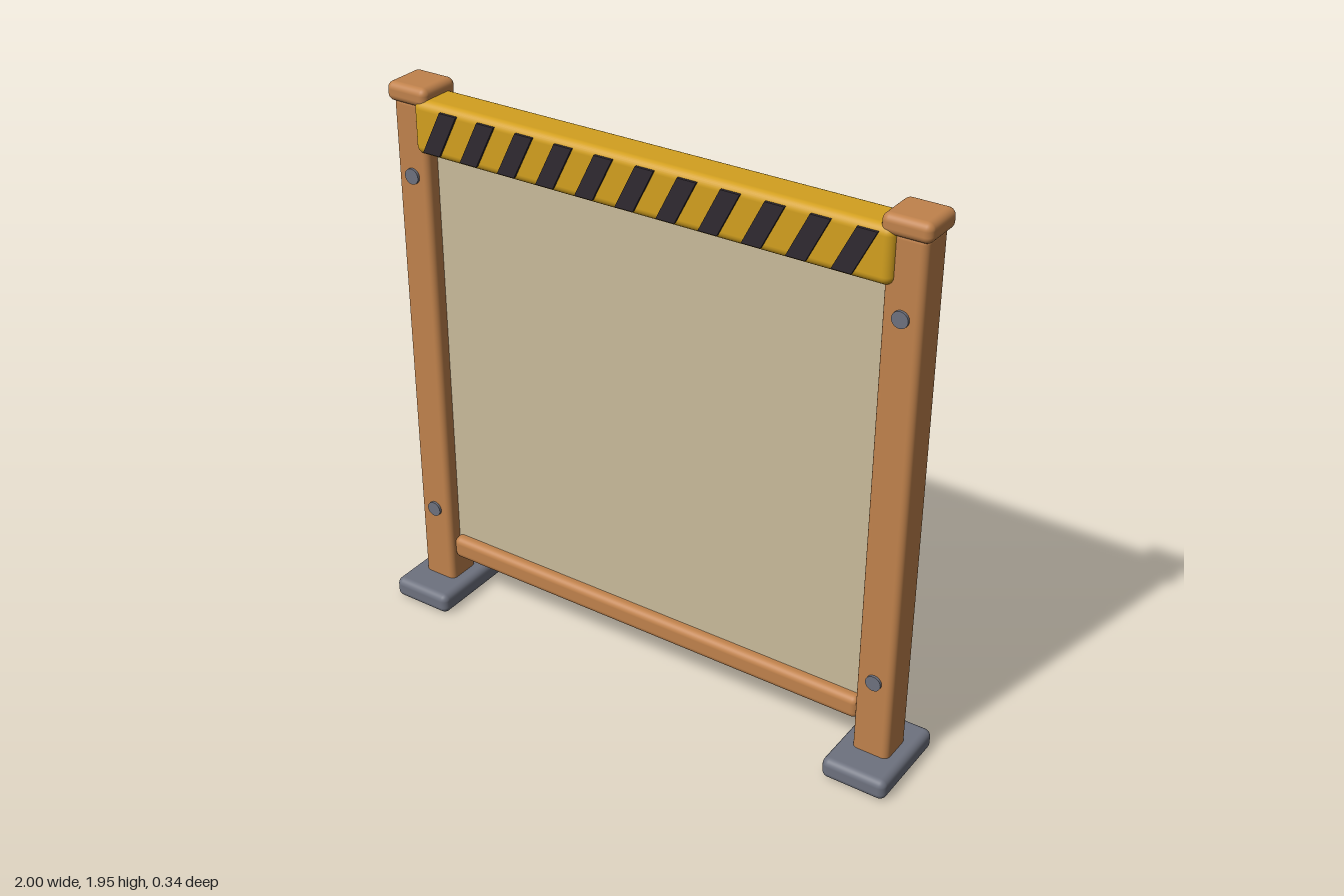
import * as THREE from 'three';
import { RoundedBoxGeometry } from 'three/addons/geometries/RoundedBoxGeometry.js';

const material = (name, color) => {
  const m = new THREE.MeshStandardMaterial({ color });
  m.name = name;
  return m;
};

export function createModel() {
  const wood = material('wood', 0xc0824c);
  const canvas = material('beige panel', 0xcabb9b);
  const yellow = material('warning yellow', 0xd3a01f);
  const dark = material('stripe black', 0x302a31);
  const steel = material('steel grey', 0x6e727f);

  const model = new THREE.Group();
  model.name = 'barrierScreen';

  const add = (parent, name, geometry, mat, x, y, z) => {
    const mesh = new THREE.Mesh(geometry, mat);
    mesh.name = name;
    mesh.position.set(x, y, z);
    parent.add(mesh);
    return mesh;
  };

  // Rounded box given by its lower and upper limits in y and z
  const block = (parent, name, mat, x, width, [y0, y1], [z0, z1], radius) =>
    add(parent, name, new RoundedBoxGeometry(width, y1 - y0, z1 - z0, 4, radius),
      mat, x, (y0 + y1) / 2, (z0 + z1) / 2);

  // Posts with foot, cap and front bolts
  for (const [side, s] of [['left', 1], ['right', -1]]) {
    const assembly = new THREE.Group();
    assembly.name = side + 'PostAssembly';
    model.add(assembly);
    const x = 0.885 * s;
    block(assembly, 'foot', steel, x, 0.23, [0, 0.075], [-0.168, 0.168], 0.025);
    block(assembly, 'post', wood, x, 0.13, [-0.001, 1.9], [-0.072, 0.057], 0.022);
    block(assembly, 'cap', wood, x, 0.16, [1.885, 1.95], [-0.088, 0.072], 0.024);
    for (const y of [0.36, 1.64]) {
      const bolt = new THREE.CylinderGeometry(0.027, 0.027, 0.03, 20).rotateX(Math.PI / 2);
      add(assembly, 'bolt', bolt, steel, x, y, 0.051);
    }
  }

  // Panel between header beam and bottom rail
  add(model, 'panel', new THREE.BoxGeometry(1.65, 1.6, 0.03), canvas, 0, 1.0, -0.007);
  block(model, 'bottomRail', wood, 0, 1.65, [0.165, 0.25], [-0.057, 0.043], 0.025);
  block(model, 'headerBeam', yellow, 0, 1.71, [1.73, 1.915], [-0.068, 0.078], 0.03);

  // Slanted warning stripes on the header
  const slant = new THREE.Shape([
    new THREE.Vector2(-0.07, -0.074),
    new THREE.Vector2(-0.004, -0.074),
    new THREE.Vector2(0.07, 0.074),
    new THREE.Vector2(0.004, 0.074),
  ]);
  const stripe = new THREE.ExtrudeGeometry(slant, { depth: 0.009, bevelEnabled: false });
  for (let i = -5; i <= 5; i++) {
    add(model, 'warningStripe', stripe, dark, i * 0.148, 1.823, 0.078);
  }

  return model;
}
